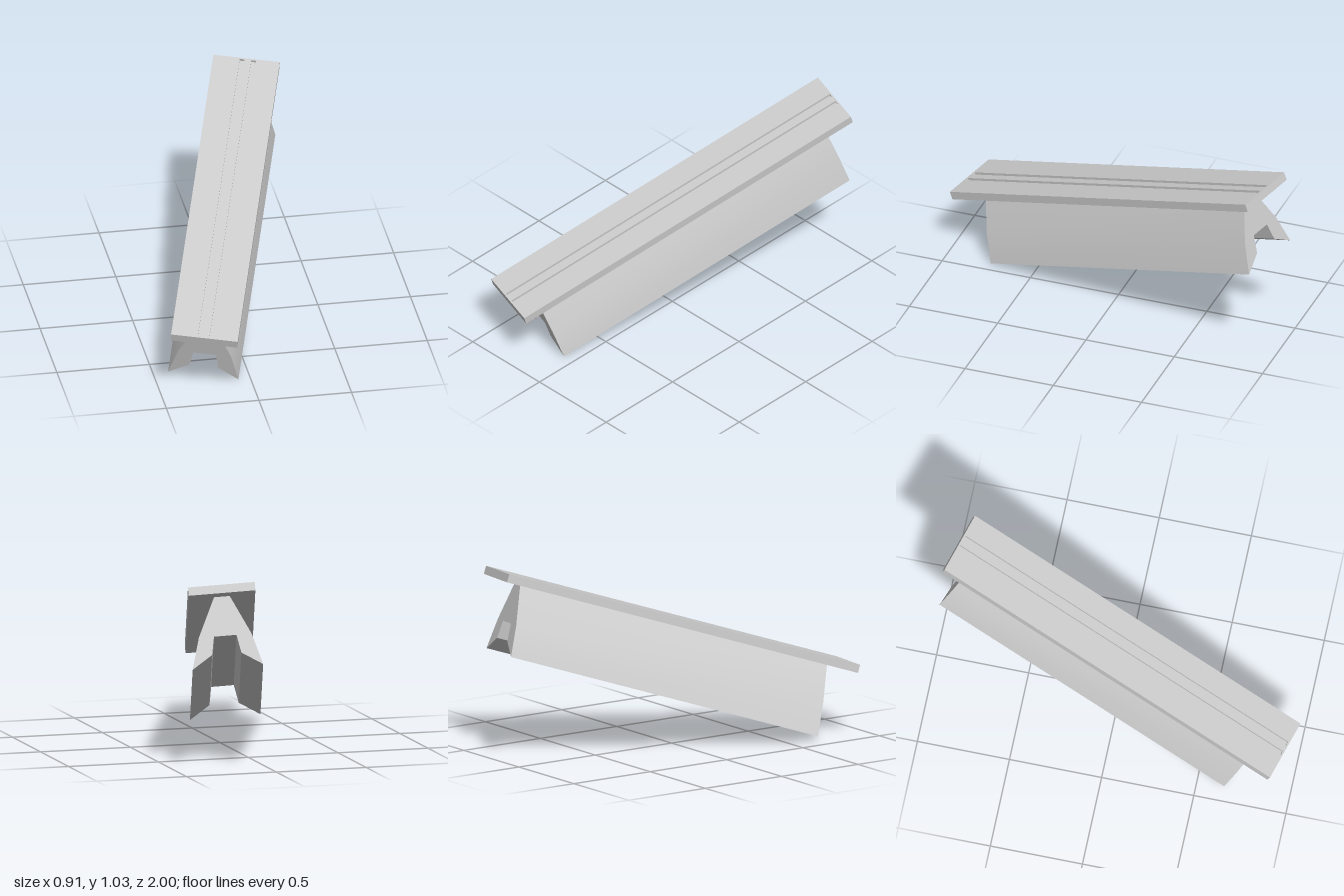
import * as THREE from 'three';
import { toCreasedNormals } from 'three/addons/utils/BufferGeometryUtils.js';

const material = new THREE.MeshStandardMaterial({ color: 0xcccccc });
const WIDTH = 0.356, LENGTH = 2.07, THICKNESS = 0.045, GROOVE_DEPTH = 0.013;
const BASE_LENGTH = 1.81;

function part(name, geometry) {
  const mesh = new THREE.Mesh(geometry, material);
  mesh.name = name;
  return mesh;
}

function rectangle(Type, cx, w, h) {
  const path = new Type();
  path.moveTo(cx - w / 2, -h / 2);
  path.lineTo(cx + w / 2, -h / 2);
  path.lineTo(cx + w / 2, h / 2);
  path.lineTo(cx - w / 2, h / 2);
  path.closePath();
  return path;
}

// Board: solid lower slab with a thin top layer pierced by two long grooves
function createBoard() {
  const board = new THREE.Group();
  board.name = 'board';
  const slabHeight = THICKNESS - GROOVE_DEPTH;
  const slab = new THREE.BoxGeometry(WIDTH, slabHeight, LENGTH);
  slab.translate(0, slabHeight / 2, 0);

  const outline = rectangle(THREE.Shape, 0, WIDTH, LENGTH);
  for (const x of [-0.023, 0.039]) {
    outline.holes.push(rectangle(THREE.Path, x, 0.026, LENGTH - 0.02));
  }
  const top = new THREE.ExtrudeGeometry(outline, { depth: GROOVE_DEPTH, bevelEnabled: false });
  top.rotateX(-Math.PI / 2);
  top.translate(0, slabHeight, 0);

  board.add(part('boardSlab', slab), part('groovedTop', top));
  return board;
}

// Base: mirrored profile with two splayed feet and a channel between them
function createBase() {
  const half = [[0.041, 0.002], [0.141, -0.211], [0.188, -0.379], [0.078, -0.308], [0.06, -0.211]];
  const mirrored = half.map(([x, y]) => [-x, y]).reverse();
  const shape = new THREE.Shape([...half, ...mirrored].map(([x, y]) => new THREE.Vector2(x, y)));
  const geometry = new THREE.ExtrudeGeometry(shape, { depth: BASE_LENGTH, bevelEnabled: false });
  geometry.translate(0, 0, -BASE_LENGTH / 2);
  return part('splayedBase', toCreasedNormals(geometry, Math.PI / 9));
}

export function createModel() {
  const model = new THREE.Group();
  model.name = 'tiltedBench';
  const bench = new THREE.Group();
  bench.name = 'bench';
  bench.add(createBoard(), createBase());

  // The whole bench lies tilted: axes for its width, height and length
  const along = new THREE.Vector3(-0.276, -0.307, 0.911).normalize();
  const across = new THREE.Vector3(0.956, -0.084, 0.281);
  const up = new THREE.Vector3().crossVectors(along, across).normalize();
  across.crossVectors(up, along);
  bench.quaternion.setFromRotationMatrix(new THREE.Matrix4().makeBasis(across, up, along));
  bench.position.set(0, 0.656, -0.005);
  model.add(bench);
  return model;
}
